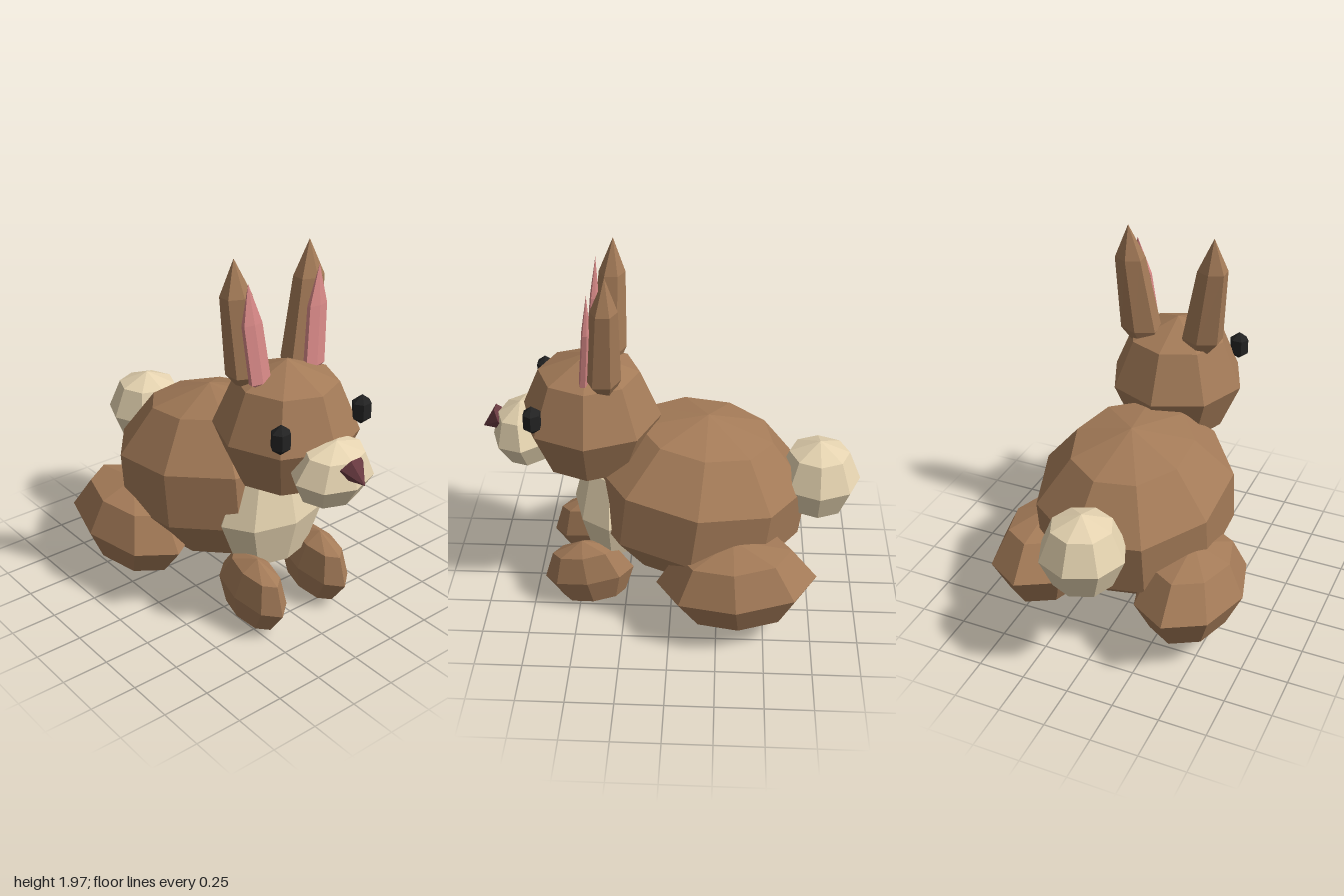
import * as THREE from 'three';

const mat = (color) => new THREE.MeshStandardMaterial({ color, flatShading: true });

export function createModel() {
  const model = new THREE.Group();
  const fur = mat(0xa47b58), cream = mat(0xe5d3b0), pink = mat(0xd98a88);
  const noseMat = mat(0x6b3c42), black = mat(0x222222);

  const add = (name, geometry, material) => {
    const mesh = new THREE.Mesh(geometry, material);
    mesh.name = name;
    model.add(mesh);
    return mesh;
  };

  // Faceted ellipsoid: centre, radii, forward tilt, number of sides and tiers
  const blob = (name, material, pos, radii, tilt = 0, sides = 8, tiers = 4) => {
    const geometry = new THREE.SphereGeometry(1, sides, tiers);
    geometry.rotateY(Math.PI).scale(...radii).rotateX(tilt);
    const mesh = add(name, geometry, material);
    mesh.position.set(...pos);
    return mesh;
  };

  // Tapered six-sided form through rings of [x, y, z, radiusX, radiusZ], top first
  const loft = (name, material, rings, side) => {
    const geometry = new THREE.CylinderGeometry(1, 1, 1, 6, rings.length - 1, true);
    const p = geometry.attributes.position;
    for (let i = 0; i < p.count; i++) {
      const [x, y, z, rx, rz] = rings[Math.floor(i / 7)];
      p.setXYZ(i, x * side + p.getX(i) * rx, y, z + p.getZ(i) * rz);
    }
    geometry.computeVertexNormals();
    return add(name, geometry, material);
  };

  // Torso, chest patch and tail
  blob('body', fur, [0, 0.635, -0.13], [0.535, 0.47, 0.61], -0.12, 9, 5);
  blob('chest', cream, [0, 0.57, 0.32], [0.32, 0.345, 0.21]);
  blob('tail', cream, [0, 0.73, -0.775], [0.225, 0.225, 0.225]);

  // Head and muzzle
  blob('head', fur, [0, 1.095, 0.43], [0.365, 0.36, 0.37]);
  blob('muzzle', cream, [0, 0.985, 0.77], [0.23, 0.175, 0.18], 0.15);

  // Nose pointing forward and slightly down
  const nose = add('nose', new THREE.ConeGeometry(0.075, 0.115, 7), noseMat);
  nose.position.set(0, 1.03, 0.948);
  nose.rotation.x = Math.PI / 2 + 0.5;

  // Paired parts
  for (const [label, s] of [['left', 1], ['right', -1]]) {
    blob(`${label}Eye`, black, [s * 0.26, 1.205, 0.693], [0.06, 0.08, 0.055], 0, 6, 3);
    blob(`${label}Haunch`, fur, [s * 0.41, 0.345, -0.35], [0.28, 0.255, 0.42], 0.08);
    blob(`${label}FrontPaw`, fur, [s * 0.215, 0.213, 0.445], [0.12, 0.208, 0.245], 0.17);

    loft(`${label}Ear`, fur, [
      [0.235, 1.98, 0.31, 0, 0],
      [0.228, 1.8, 0.318, 0.083, 0.068],
      [0.175, 1.4, 0.338, 0.113, 0.09],
      [0.155, 1.32, 0.33, 0.06, 0.045],
      [0.155, 1.3, 0.33, 0, 0],
    ], s);
    loft(`${label}InnerEar`, pink, [
      [0.222, 1.88, 0.4, 0, 0],
      [0.205, 1.68, 0.41, 0.063, 0.022],
      [0.172, 1.38, 0.435, 0.068, 0.025],
      [0.165, 1.34, 0.435, 0, 0],
    ], s);
  }

  return model;
}
